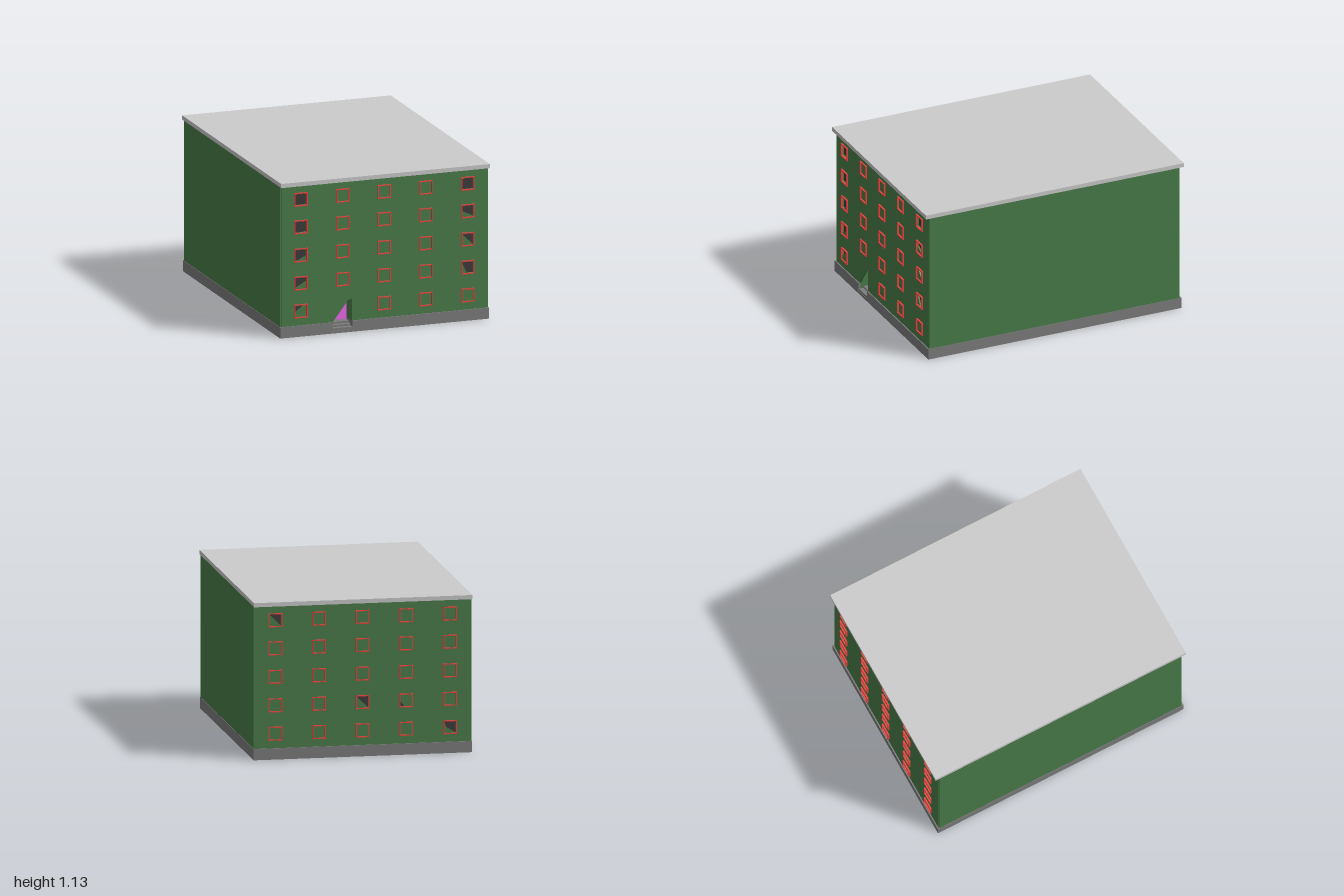
import * as THREE from 'three';

const paint = (color) => new THREE.MeshStandardMaterial({ color });
const green = paint(0x4a7d4a), red = paint(0xe64640), dark = paint(0x3c3c3c);
const stone = paint(0x7d7d7d), pale = paint(0xcccccc), pink = paint(0xed69ed);
const alcoveMat = paint(0x4a7d4a);
alcoveMat.side = THREE.BackSide;

const COLS = [-0.627, -0.314, -0.002, 0.311, 0.625];
const ROWS = [0.185, 0.388, 0.592, 0.797, 0.998];
const OUTER = 0.049, INNER = 0.042;
const DOOR = { left: -0.386, right: -0.241, top: 0.235, floor: 0.02, back: 0.85 };

// Wall openings: column, row, then corners as fractions of the window
const FRONT_OPENINGS = [
  [0, 4, [[0, 0], [1, 0], [1, 1], [0, 1]]],
  [0, 3, [[0, 0], [0.6, 0], [1, 0.08], [1, 1], [0, 1]]],
  [0, 2, [[0, 0], [0.2, 0], [1, 0.38], [1, 1], [0, 1]]],
  [0, 1, [[0, 0.05], [1, 0.6], [1, 1], [0, 1]]],
  [0, 0, [[0, 0.35], [0.8, 1], [0, 1]]],
  [4, 4, [[0, 0], [1, 0], [1, 1], [0.4, 1], [0, 0.83]]],
  [4, 3, [[0, 0.5], [1, 0.05], [1, 1], [0, 1]]],
  [4, 2, [[0, 1], [1, 0], [1, 1]]],
  [4, 1, [[0.45, 0], [1, 0], [1, 1], [0, 1], [0, 0.9]]],
];
const BACK_OPENINGS = [
  [0, 4, [[0, 1], [1, 0], [1, 1]]],
  [2, 1, [[0, 1], [1, 0], [1, 1]]],
  [3, 1, [[0, 0], [0.35, 0], [0, 0.5]]],
  [4, 0, [[0, 1], [0.2, 0.5], [1, 0], [1, 1]]],
];

const points = (list) => list.map(([x, y]) => new THREE.Vector2(x, y));
const square = (r) => points([[-r, -r], [r, -r], [r, r], [-r, r]]);

function add(parent, name, geometry, material, x = 0, y = 0, z = 0) {
  const mesh = new THREE.Mesh(geometry, material);
  mesh.name = name;
  mesh.position.set(x, y, z);
  parent.add(mesh);
  return mesh;
}

// Box given by its lower and upper limits on each axis
function block(parent, name, material, [x0, x1], [y0, y1], [z0, z1]) {
  return add(parent, name, new THREE.BoxGeometry(x1 - x0, y1 - y0, z1 - z0), material,
    (x0 + x1) / 2, (y0 + y1) / 2, (z0 + z1) / 2);
}

const extrude = (shape, depth) => new THREE.ExtrudeGeometry(shape, { depth, bevelEnabled: false });

// One windowed wall, facing +z
function makeFacade(name, openings, doorway) {
  const facade = new THREE.Group();
  facade.name = name;

  const outline = [[-0.772, 0.08], ...doorway, [0.772, 0.08], [0.772, 1.1], [-0.772, 1.1]];
  const wall = new THREE.Shape(points(outline));
  for (const [c, r, corners] of openings) {
    wall.holes.push(new THREE.Path(points(corners.map(([u, v]) =>
      [COLS[c] + (2 * u - 1) * INNER, ROWS[r] + (2 * v - 1) * INNER]))));
    add(facade, 'windowPane', new THREE.PlaneGeometry(0.1, 0.1), dark, COLS[c], ROWS[r], 0.957);
  }
  add(facade, 'wall', extrude(wall, 0.012), green, 0, 0, 0.96);

  const frame = new THREE.Shape(square(OUTER));
  frame.holes.push(new THREE.Path(square(INNER)));
  const frameGeometry = extrude(frame, 0.014);
  COLS.forEach((x, c) => ROWS.forEach((y, r) => {
    if (doorway.length && c === 1 && r === 0) return; // the door takes this place
    add(facade, 'windowFrame', frameGeometry, red, x, y, 0.97);
  }));
  return facade;
}

export function createModel() {
  const model = new THREE.Group();
  model.name = 'apartmentBlock';

  // Plinth, notched for the entrance
  block(model, 'plinthBottom', stone, [-0.783, 0.783], [0, DOOR.floor], [-0.981, 0.981]);
  const footprint = new THREE.Shape(points([
    [-0.783, -0.981], [DOOR.left, -0.981], [DOOR.left, -DOOR.back], [DOOR.right, -DOOR.back],
    [DOOR.right, -0.981], [0.783, -0.981], [0.783, 0.981], [-0.783, 0.981],
  ]));
  add(model, 'plinth', extrude(footprint, 0.06), stone, 0, DOOR.floor, 0).rotation.x = -Math.PI / 2;

  // Side walls and roof slab
  for (const s of [-1, 1]) {
    const side = block(model, 'sideWall', green, [0.766, 0.78], [0.08, 1.1], [-0.967, 0.967]);
    side.position.x *= s;
  }
  block(model, 'roof', pale, [-0.783, 0.783], [1.1, 1.13], [-1, 1]);

  // Front and back walls with their windows
  const doorway = [[DOOR.left, 0.08], [-0.268, DOOR.top], [DOOR.right, DOOR.top], [DOOR.right, 0.08]];
  const back = makeFacade('backFacade', BACK_OPENINGS, []);
  back.rotation.y = Math.PI;
  model.add(makeFacade('frontFacade', FRONT_OPENINGS, doorway), back);

  // Recessed entrance: lining, door, handles and steps
  const entrance = new THREE.Group();
  entrance.name = 'entrance';
  model.add(entrance);
  const width = [DOOR.left, DOOR.right];
  block(entrance, 'alcove', alcoveMat, width, [DOOR.floor, DOOR.top + 0.002], [DOOR.back - 0.01, 0.965]);
  block(entrance, 'door', pink, width, [0.05, DOOR.top], [DOOR.back - 0.005, DOOR.back + 0.005]);
  for (const x of [-0.322, -0.305]) {
    add(entrance, 'doorHandle', new THREE.SphereGeometry(0.004, 10, 8), dark, x, 0.148, DOOR.back + 0.008);
  }
  [0.036, 0.049, 0.063].forEach((top, i) => {
    block(entrance, 'step', stone, width, [DOOR.floor, top], [DOOR.back, 0.978 - i * 0.035]);
  });

  return model;
}
